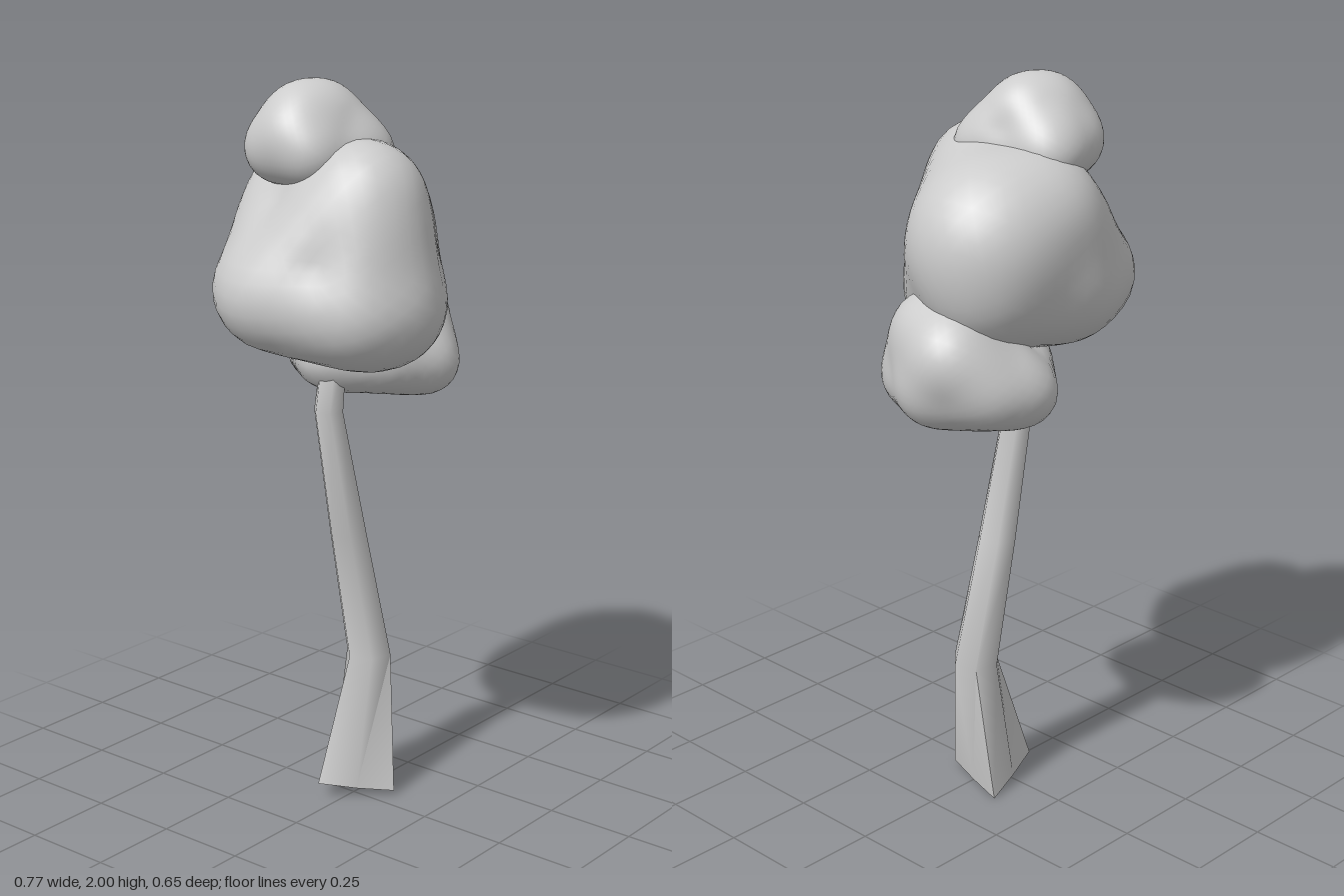
import * as THREE from 'three';
import { mergeVertices, toCreasedNormals } from 'three/addons/utils/BufferGeometryUtils.js';

// Bridge every pair of lobes [x, y, z, radius] with in-between lobes
function bridge(lobes) {
  const all = [...lobes];
  lobes.forEach((a, i) => {
    for (const b of lobes.slice(i + 1)) {
      for (const t of [0.25, 0.5, 0.75]) all.push(a.map((v, k) => v + (b[k] - v) * t));
    }
  });
  return all;
}

// Smooth union of lobes: signed distance at a point
function lobeDistance(p, lobes, blend) {
  let sum = 0;
  for (const [x, y, z, r] of lobes) {
    sum += Math.exp(-(Math.hypot(p.x - x, p.y - y, p.z - z) - r) / blend);
  }
  return -blend * Math.log(sum);
}

// Shrink-wrap a sphere onto the blended lobes
function foliage(name, centre, corners, material) {
  const lobes = bridge(corners);
  let geo = new THREE.IcosahedronGeometry(1, 9);
  geo.deleteAttribute('normal');
  geo.deleteAttribute('uv');
  geo = mergeVertices(geo, 1e-4);
  const pos = geo.attributes.position;
  const c = new THREE.Vector3(...centre);
  const dir = new THREE.Vector3();
  const p = new THREE.Vector3();
  for (let i = 0; i < pos.count; i++) {
    dir.fromBufferAttribute(pos, i).normalize();
    let t = 0.7;
    for (let step = 0; step < 60; step++) {
      p.copy(c).addScaledVector(dir, t);
      const d = lobeDistance(p, lobes, 0.009);
      if (d < 0.0005) break;
      t -= d;
    }
    pos.setXYZ(i, p.x, p.y, p.z);
  }
  geo.computeVertexNormals();
  const mesh = new THREE.Mesh(geo, material);
  mesh.name = name;
  return mesh;
}

// Bent trunk lofted from a flared, slanted triangular foot to slim six-sided rings
function trunk(material) {
  const foot = [[0.055, 0.1], [0.088, -0.005], [0.117, -0.115], [0.012, -0.088], [-0.09, -0.055], [-0.025, 0.03]];
  const rings = [foot.map(([x, z]) => [x, 0.2 * (0.117 - x), z])];
  const spine = [
    [0.094, 0.39, -0.022, 0.066], [0.038, 0.75, -0.05, 0.055],
    [-0.061, 1.12, -0.037, 0.042], [-0.035, 1.27, -0.04, 0.037], [0.0, 1.4, -0.04, 0.03],
  ];
  for (const [x, y, z, r] of spine) {
    rings.push(foot.map((_, i) => {
      const a = THREE.MathUtils.degToRad(75 - 60 * i);
      return [x + r * Math.cos(a), y, z + r * Math.sin(a)];
    }));
  }
  const n = foot.length;
  const index = [];
  for (let k = 0; k < rings.length - 1; k++) {
    for (let i = 0; i < n; i++) {
      const a = k * n + i, b = k * n + (i + 1) % n;
      index.push(a, b, b + n, a, b + n, a + n);
    }
  }
  // Underside and top caps
  const top = (rings.length - 1) * n;
  for (let i = 1; i < n - 1; i++) {
    index.push(0, i + 1, i, top, top + i, top + i + 1);
  }
  const geo = new THREE.BufferGeometry();
  geo.setAttribute('position', new THREE.Float32BufferAttribute(rings.flat(2), 3));
  geo.setIndex(index);
  const mesh = new THREE.Mesh(toCreasedNormals(geo, 1.15), material);
  mesh.name = 'trunk';
  return mesh;
}

export function createModel() {
  const grey = new THREE.MeshStandardMaterial({ color: 0xcccccc });
  grey.name = 'light grey';
  const tree = new THREE.Group();
  tree.name = 'tree';

  tree.add(trunk(grey));

  // Large lumpy crown
  tree.add(foliage('mainCrown', [-0.03, 1.55, -0.02], [
    [-0.09, 1.70, 0.11, 0.155], [-0.09, 1.435, 0.17, 0.15], [-0.18, 1.43, 0.15, 0.135],
    [-0.25, 1.46, -0.06, 0.135], [-0.195, 1.46, -0.145, 0.125], [-0.07, 1.46, -0.175, 0.145],
    [0.0, 1.66, -0.15, 0.165], [0.115, 1.605, -0.1, 0.21], [0.14, 1.5, -0.12, 0.16],
    [0.03, 1.42, 0.1, 0.14],
  ], grey));

  // Small cap on top
  tree.add(foliage('topCrown', [-0.08, 1.85, -0.06], [
    [-0.12, 1.905, -0.075, 0.08], [-0.06, 1.905, -0.045, 0.08], [-0.165, 1.86, -0.06, 0.08],
    [-0.165, 1.81, 0.0, 0.068], [0.0, 1.81, 0.045, 0.069], [-0.15, 1.82, -0.13, 0.08],
    [-0.04, 1.81, -0.16, 0.078],
  ], grey));

  // Low side clump
  tree.add(foliage('sideCrown', [0.18, 1.27, -0.06], [
    [0.22, 1.37, 0.01, 0.098], [0.21, 1.37, -0.08, 0.1], [0.28, 1.34, -0.12, 0.098],
    [0.2, 1.225, 0.095, 0.083], [0.12, 1.23, -0.225, 0.083], [0.22, 1.25, -0.2, 0.085],
    [0.285, 1.235, -0.06, 0.083], [-0.02, 1.255, -0.07, 0.085], [0.07, 1.25, 0.05, 0.08],
    [0.21, 1.225, -0.06, 0.09],
  ], grey));

  return tree;
}
